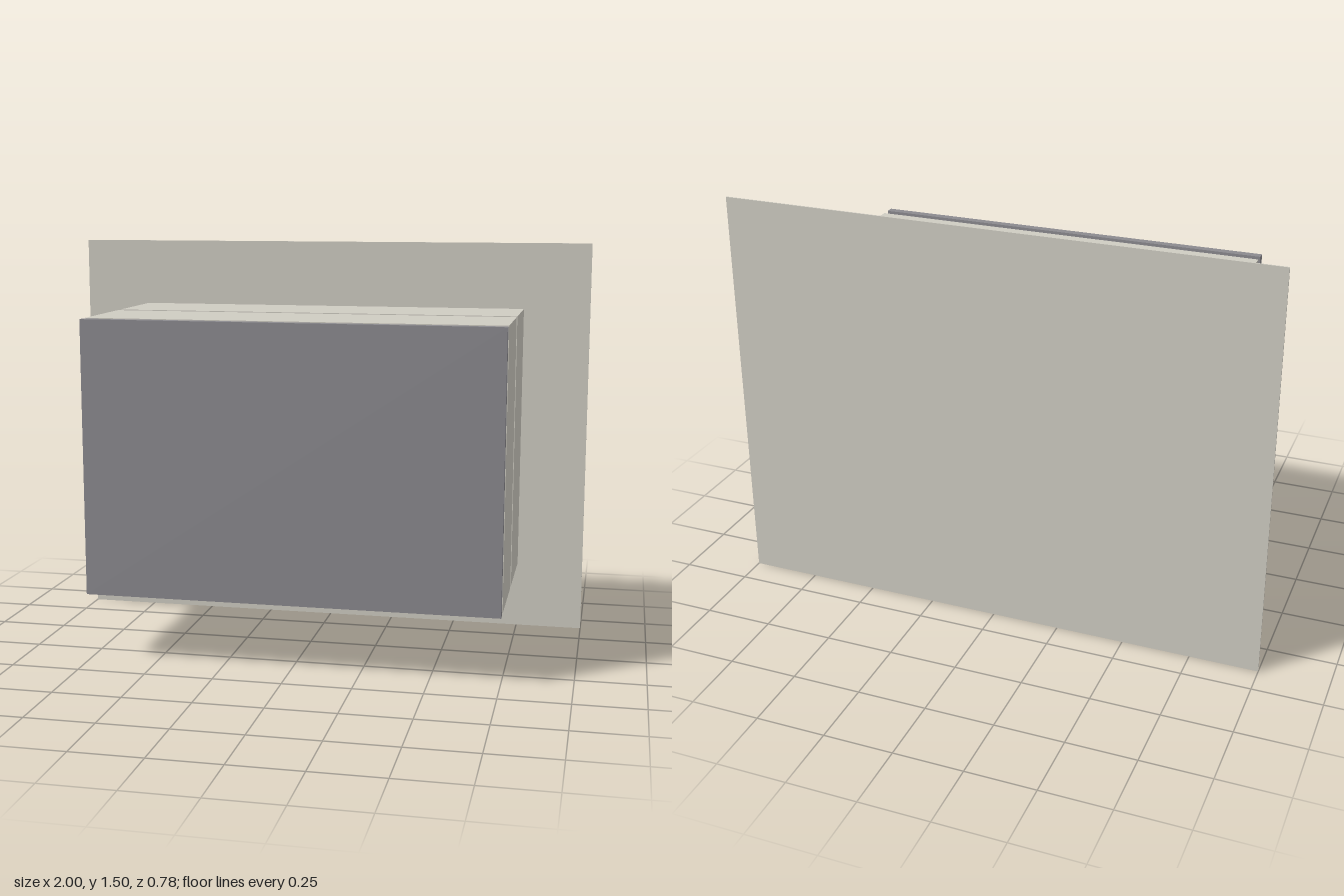
import * as THREE from 'three';

const makeMaterial = (name, color) => {
  const material = new THREE.MeshStandardMaterial({ color });
  material.name = name;
  return material;
};

// Box given by its lower and upper bounds on each axis
function slab(name, material, [x0, x1], [y0, y1], [z0, z1]) {
  const mesh = new THREE.Mesh(new THREE.BoxGeometry(x1 - x0, y1 - y0, z1 - z0), material);
  mesh.position.set((x0 + x1) / 2, (y0 + y1) / 2, (z0 + z1) / 2);
  mesh.name = name;
  return mesh;
}

export function createModel() {
  const beige = makeMaterial('warm beige', 0xcfccc2);
  const grey = makeMaterial('slate grey', 0x8b8a8f);
  const glass = makeMaterial('blue glass', 0xaac3d2);

  const model = new THREE.Group();
  model.name = 'wallUnit';
  const width = [-0.75, 0.75];
  const height = [0.25, 1.25];

  // Thin wall plate behind and dark panel in front
  model.add(slab('backPlate', beige, [-1, 1], [0, 1.5], [-0.392, -0.387]));
  model.add(slab('frontPanel', grey, width, height, [0.362, 0.392]));

  // Two separate box sections, each with a pair of windows underneath
  const sections = [['rear', -0.387, -0.046], ['front', -0.012, 0.332]];
  for (const [label, z0, z1] of sections) {
    const section = new THREE.Group();
    section.name = `${label}Section`;
    section.add(slab(`${label}Body`, beige, width, height, [z0, z1]));
    const mid = (z0 + z1) / 2 + 0.045;
    for (const [side, x] of [['left', 0.375], ['right', -0.375]]) {
      section.add(slab(`${side}BottomWindow`, glass,
        [x - 0.1875, x + 0.1875], [0.246, 0.251], [mid - 0.075, mid + 0.075]));
    }
    model.add(section);
  }
  return model;
}
